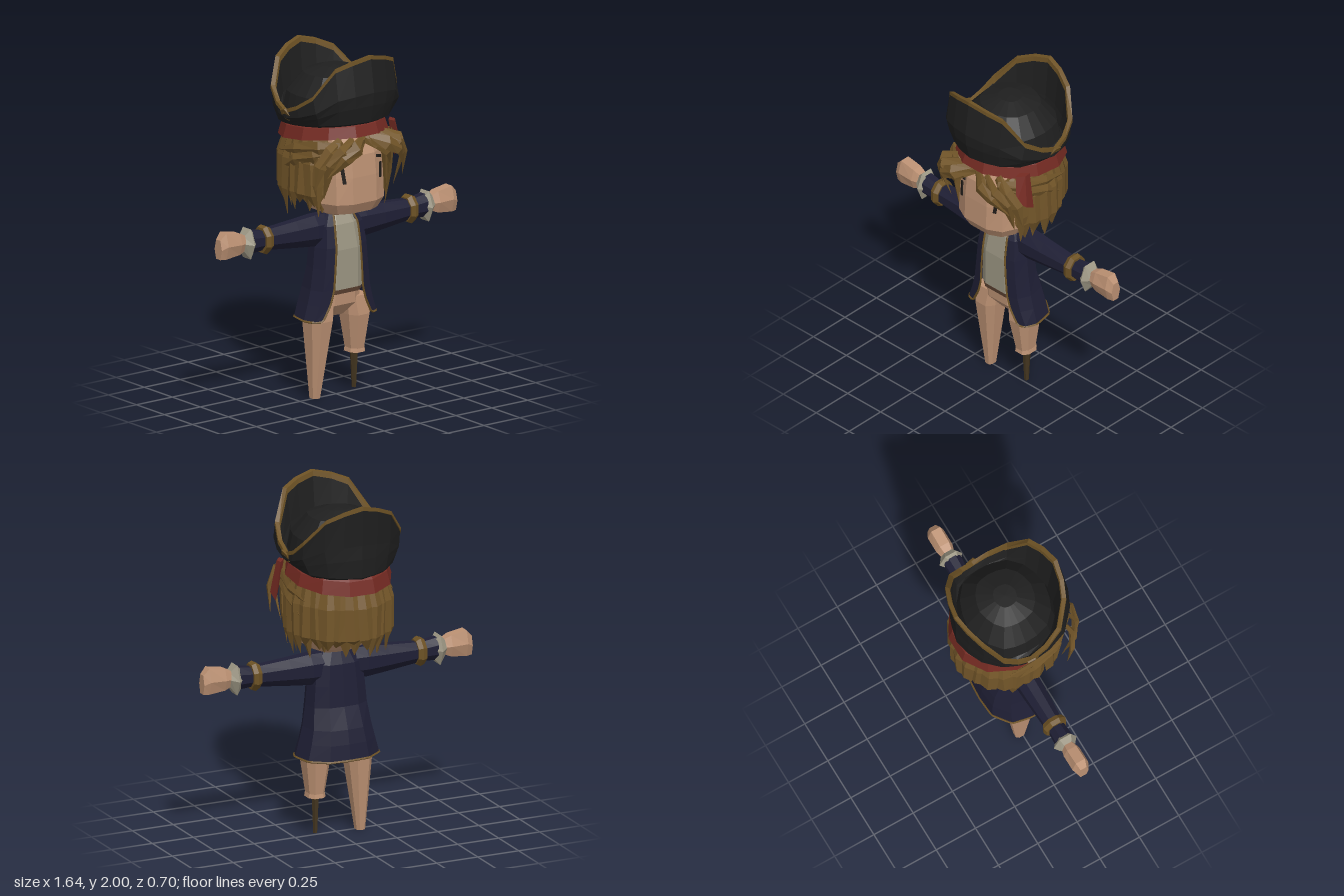
import * as THREE from 'three';

const mat = (name, color, side = THREE.FrontSide) => {
  const m = new THREE.MeshStandardMaterial({ color, side, flatShading: true });
  m.name = name;
  return m;
};

// Flat-shaded skin over a list of rings; each ring is a list of [x, y, z]
function loft(rings, { closed = true, caps = closed } = {}) {
  const v = [], n = rings[0].length;
  const tri = (a, b, c) => v.push(...a, ...b, ...c);
  for (let i = 0; i < rings.length - 1; i++) {
    for (let j = 0; j < (closed ? n : n - 1); j++) {
      const k = (j + 1) % n, a = rings[i], b = rings[i + 1];
      tri(a[j], a[k], b[k]);
      tri(a[j], b[k], b[j]);
    }
  }
  if (caps) {
    const mid = r => [0, 1, 2].map(c => r.reduce((s, p) => s + p[c], 0) / n);
    const lo = rings[0], hi = rings[rings.length - 1], cl = mid(lo), ch = mid(hi);
    for (let j = 0; j < n; j++) {
      const k = (j + 1) % n;
      tri(cl, lo[k], lo[j]);
      tri(ch, hi[j], hi[k]);
    }
  }
  const g = new THREE.BufferGeometry();
  g.setAttribute('position', new THREE.Float32BufferAttribute(v, 3));
  g.computeVertexNormals();
  return g;
}

const soft = (v, p) => Math.sign(v) * Math.abs(v) ** p;

// Upright body: rows of [y, centre x, centre z, radius x, radius z]
const upright = (rows, n = 8, p = 1) => loft(rows.map(([y, cx, cz, rx, rz]) =>
  Array.from({ length: n }, (_, j) => {
    const a = (j + 0.5) / n * Math.PI * 2;
    return [cx + rx * soft(Math.sin(a), p), y, cz + rz * soft(Math.cos(a), p)];
  })));

// Sideways limb along +x: rows of [x, centre y, radius y, radius z]
const sideways = (rows, n = 8, p = 1) => loft(rows.map(([x, cy, ry, rz]) =>
  Array.from({ length: n }, (_, j) => {
    const a = (j + 0.5) / n * Math.PI * 2;
    return [x, cy + ry * soft(Math.cos(a), p), rz * soft(Math.sin(a), p)];
  })));

// Tapered lock of hair following a few points
function lock(points, w, t = 0.018) {
  const P = points.map(p => new THREE.Vector3(...p));
  const size = [0.7, 1, 0.85, 0.04];
  return loft(P.map((p, i) => {
    const dir = P[Math.min(i + 1, P.length - 1)].clone().sub(P[Math.max(i - 1, 0)]).normalize();
    const out = new THREE.Vector3(p.x, 0, p.z + 0.02).normalize();
    const side = dir.clone().cross(out).normalize();
    return [[out, t], [side, w], [out, -t], [side, -w]].map(([d, s]) =>
      p.clone().addScaledVector(d, s * size[i]).toArray());
  }));
}

export function createModel() {
  const model = new THREE.Group();
  model.name = 'sailor';
  const skin = mat('skin', 0xbc9173), navy = mat('navy cloth', 0x1f1f35, THREE.DoubleSide);
  const black = mat('black felt', 0x1f1f1f), gold = mat('gold trim', 0x6c5124);
  const red = mat('red cloth', 0x742a22, THREE.DoubleSide), hairMat = mat('hair', 0x735629, THREE.DoubleSide);
  const linen = mat('linen', 0x9c9683), wood = mat('dark wood', 0x43351f);
  const leather = mat('belt leather', 0x5a4030), ink = mat('eye black', 0x1d1916);
  const add = (name, geo, material, parent = model) => {
    const m = new THREE.Mesh(geo, material);
    m.name = name;
    parent.add(m);
    return m;
  };

  // Legs and peg
  add('pelvis', upright([[0.46, 0, -0.01, 0.045, 0.04], [0.53, 0, 0, 0.14, 0.085], [0.62, 0, 0, 0.13, 0.09]], 8, 0.7), skin);
  add('rightLeg', upright([[0, -0.14, -0.01, 0.027, 0.032], [0.45, -0.128, 0, 0.078, 0.092], [0.56, -0.11, 0, 0.07, 0.08]], 8, 0.75), skin);
  add('leftLeg', upright([[0.23, 0.132, -0.005, 0.046, 0.055], [0.45, 0.128, 0, 0.078, 0.092], [0.56, 0.11, 0, 0.07, 0.08]], 8, 0.75), skin);
  add('kneeCuff', upright([[0.226, 0.132, -0.005, 0.054, 0.062], [0.25, 0.132, -0.005, 0.05, 0.058]], 8, 0.75), skin);
  add('pegLeg', upright([[0.015, 0.132, -0.01, 0.012, 0.014], [0.23, 0.132, -0.01, 0.022, 0.026]], 6), wood);

  // Shirt, belt and neck
  add('shirt', upright([[0.62, 0, 0.03, 0.13, 0.075], [0.85, 0, 0.03, 0.125, 0.078], [0.99, 0, 0.02, 0.105, 0.065], [1.05, 0, 0.005, 0.075, 0.048]], 8, 0.6), linen);
  add('belt', upright([[0.6, 0, 0, 0.137, 0.105], [0.624, 0, 0, 0.135, 0.108]], 8, 0.6), leather);
  add('neck', upright([[1.0, 0, 0, 0.065, 0.05], [1.12, 0, 0, 0.065, 0.06]], 8), skin);

  // Open coat: rows of [y, opening, side, front z, back z]
  const coatRings = [
    [0.46, 0.17, 0.24, 0.1, -0.18], [0.55, 0.122, 0.215, 0.108, -0.168], [0.63, 0.1, 0.195, 0.112, -0.15],
    [0.75, 0.092, 0.178, 0.114, -0.105], [0.87, 0.084, 0.167, 0.112, -0.095],
    [0.99, 0.08, 0.15, 0.092, -0.085], [1.06, 0.062, 0.1, 0.055, -0.055],
  ].map(([y, o, s, f, b]) => {
    const half = [[o, y, f], [o + (s - o) * 0.65, y, f * 0.85], [s, y, f * 0.2], [s * 0.9, y, b * 0.55], [s * 0.5, y, b * 0.95]];
    return [...half, [0, y, b], ...half.map(([x, h, z]) => [-x, h, z]).reverse()];
  });
  add('coat', loft(coatRings, { closed: false }), navy);
  const edge = [...coatRings.map(r => r[0]).reverse(), ...coatRings[0].slice(1, -1), ...coatRings.map(r => r[r.length - 1])];
  const edgeCurve = new THREE.CatmullRomCurve3(edge.map(p => new THREE.Vector3(...p)), false, 'catmullrom', 0.1);
  add('coatTrim', new THREE.TubeGeometry(edgeCurve, 90, 0.007, 4), gold);

  // Arms, the second turned half way round
  for (const side of ['left', 'right']) {
    const arm = new THREE.Group();
    arm.name = side + 'Arm';
    arm.rotation.y = side === 'left' ? 0 : Math.PI;
    model.add(arm);
    add('sleeve', sideways([[0.05, 0.965, 0.095, 0.065], [0.17, 0.965, 0.095, 0.07], [0.3, 0.966, 0.082, 0.065], [0.5, 0.97, 0.062, 0.054]]), navy, arm);
    add('sleeveBand', sideways([[0.478, 0.97, 0.072, 0.064], [0.503, 0.97, 0.086, 0.075], [0.528, 0.97, 0.076, 0.066]]), gold, arm);
    add('sleeveEnd', sideways([[0.51, 0.97, 0.058, 0.05], [0.605, 0.975, 0.07, 0.055]]), navy, arm);
    add('shirtCuff', sideways([[0.59, 0.97, 0.06, 0.045], [0.62, 0.968, 0.1, 0.072], [0.66, 0.975, 0.045, 0.04]], 6), linen, arm);
    add('hand', sideways([[0.62, 0.978, 0.035, 0.03], [0.69, 0.98, 0.068, 0.05], [0.785, 0.983, 0.083, 0.05], [0.82, 0.965, 0.062, 0.033]], 6, 0.8), skin, arm);
  }

  // Head and face
  add('head', upright([
    [1.06, 0, 0.03, 0.11, 0.1], [1.09, 0, 0.055, 0.175, 0.175], [1.15, 0, 0.045, 0.21, 0.22],
    [1.3, 0, 0.023, 0.208, 0.238], [1.42, 0, 0.01, 0.2, 0.24], [1.53, 0, -0.02, 0.19, 0.22]], 12, 0.7), skin);
  for (const s of [-1, 1]) {
    const eye = add(s > 0 ? 'leftEye' : 'rightEye', new THREE.BoxGeometry(0.02, 0.085, 0.009), ink);
    eye.position.set(s * 0.128, 1.312, 0.231);
    eye.rotation.set(-0.08, s * 0.53, s * -0.12);
    const brow = add(s > 0 ? 'leftBrow' : 'rightBrow', new THREE.BoxGeometry(0.048, 0.015, 0.009), ink);
    brow.position.set(s * 0.115, 1.392, 0.232);
    brow.rotation.set(-0.08, s * 0.53, s * -0.2);
  }

  // Hair: a scalp shell, hanging locks, then a parted fringe
  const hair = new THREE.Group();
  hair.name = 'hair';
  model.add(hair);
  const around = (a, y, s) => [Math.sin(a) * 0.27 * s, y, -0.02 + Math.cos(a) * 0.29 * s];
  const shell = [[1.2, 0.84], [1.35, 0.9], [1.5, 0.92], [1.57, 0.8]].map(([y, s]) =>
    Array.from({ length: 17 }, (_, j) => around(1.15 + j / 16 * (Math.PI * 2 - 2.3), y, s)));
  add('scalp', loft(shell, { closed: false }), hairMat, hair);
  let seed = 7;
  const rand = () => (seed = (seed * 16807) % 2147483647) / 2147483647;
  for (let layer = 0; layer < 2; layer++) {
    const count = 18, s = layer ? 0.88 : 1;
    for (let i = 0; i < count; i++) {
      const a = 1.0 + (i + layer * 0.5) / (count - 0.5) * (Math.PI * 2 - 2.0);
      const back = Math.max(0, -Math.cos(a));
      const tip = 1.03 + back * 0.03 + rand() * 0.12 + (Math.cos(a) > 0.3 ? 0.06 : 0);
      const twist = (rand() - 0.5) * 0.24, puff = rand() * 0.06;
      add('hairLock', lock([around(a, 1.51, 0.93 * s), around(a, 1.38, (1 + puff) * s),
        around(a + twist * 0.5, 1.2, (1.01 + puff) * s), around(a + twist, tip, (0.94 + puff) * s)], 0.054, 0.022), hairMat, hair);
    }
  }
  const fringe = [
    [[0.0, 1.52, 0.25], [0.07, 1.49, 0.29], [0.14, 1.43, 0.29], [0.2, 1.33, 0.23]],
    [[0.02, 1.52, 0.26], [0.1, 1.49, 0.335], [0.19, 1.44, 0.325], [0.26, 1.33, 0.26]],
    [[0.08, 1.52, 0.26], [0.19, 1.48, 0.315], [0.255, 1.4, 0.27], [0.24, 1.2, 0.2]],
    [[0.14, 1.52, 0.23], [0.24, 1.48, 0.265], [0.295, 1.39, 0.235], [0.305, 1.25, 0.2]],
    [[0.18, 1.5, 0.18], [0.24, 1.42, 0.18], [0.25, 1.26, 0.15], [0.23, 1.08, 0.14]],
    [[0.17, 1.49, 0.26], [0.255, 1.48, 0.17], [0.285, 1.45, 0], [0.27, 1.41, -0.16]],
    [[0.19, 1.46, 0.24], [0.265, 1.43, 0.14], [0.29, 1.39, 0], [0.28, 1.32, -0.12]],
  ];
  for (const s of [1, -1]) {
    fringe.forEach(path => add('fringeLock', lock(path.map(([x, y, z]) => [s * x, y, z]), 0.04), hairMat, hair));
  }

  // Headscarf with a hanging tail
  const scarf = [[0.295, 0.32, 1.502, 0.125], [0.275, 0.3, 1.57, 0.1], [0.24, 0.27, 1.595, 0.09]].map(([rx, rz, y, tilt]) =>
    Array.from({ length: 12 }, (_, j) => {
      const a = (j + 0.5) / 12 * Math.PI * 2, z = -0.026 + rz * Math.cos(a);
      return [rx * Math.sin(a), y + tilt * z, z];
    }));
  add('headscarf', loft(scarf, { caps: false }), red);
  add('scarfTail', loft([
    [[0.28, 1.41, 0.225], [0.315, 1.375, 0.18], [0.31, 1.34, 0.12], [0.27, 1.38, 0.17]],
    [[0.25, 1.56, 0.2], [0.285, 1.56, 0.16], [0.28, 1.56, 0.12], [0.24, 1.56, 0.16]]]), red);

  // Hat: half the rim, mirrored, drives every ring; its foot tips down to the back
  const half = [[0.11, 1.975, 0.288], [0.2, 1.94, 0.25], [0.29, 1.78, 0.165], [0.322, 1.71, 0.06], [0.33, 1.67, -0.04],
    [0.32, 1.7, -0.12], [0.295, 1.77, -0.2], [0.2, 1.9, -0.28], [0.1, 1.945, -0.32]];
  const rim = [[0, 2, 0.31], ...half, [0, 1.97, -0.34], ...half.map(([x, y, z]) => [-x, y, z]).reverse()];
  const hatRing = (s, height, sz = s, shift = 0) =>
    rim.map(([x, y, z]) => [x * s, height(y, z), (z + 0.02) * sz - 0.02 + shift]);
  const foot = lift => (y, z) => 1.575 + lift + 0.1 * z;
  const wall = t => (y, z) => foot(0.02)(y, z) * (1 - t) + y * t;
  add('hat', loft([
    hatRing(0.8, foot(0), 0.9), hatRing(0.86, foot(0.015), 0.97, 0.005), hatRing(0.94, wall(0.25), 1.02, 0.015),
    hatRing(1, wall(0.45), 1.03, 0.02), hatRing(1, wall(1)),
    hatRing(0.94, wall(0.97)), hatRing(0.87, wall(0.4)), hatRing(0.82, () => 1.64),
    hatRing(0.76, () => 1.74), hatRing(0.5, () => 1.845), hatRing(0.2, () => 1.878), hatRing(0.01, () => 1.88)]), black);
  add('hatTrim', loft([
    hatRing(1.012, y => y - 0.02), hatRing(1.008, y => y + 0.002), hatRing(0.935, y => y - 0.002),
    hatRing(0.92, y => y - 0.03), hatRing(1.012, y => y - 0.02)], { caps: false }), gold);
  for (const s of [-1, 1]) {
    const stud = add('hatStud', new THREE.CylinderGeometry(0.042, 0.042, 0.012, 5).rotateZ(Math.PI / 2), gold);
    stud.position.set(s * 0.322, 1.645, -0.035);
    stud.rotation.z = -s * 0.46;
  }
  return model;
}
